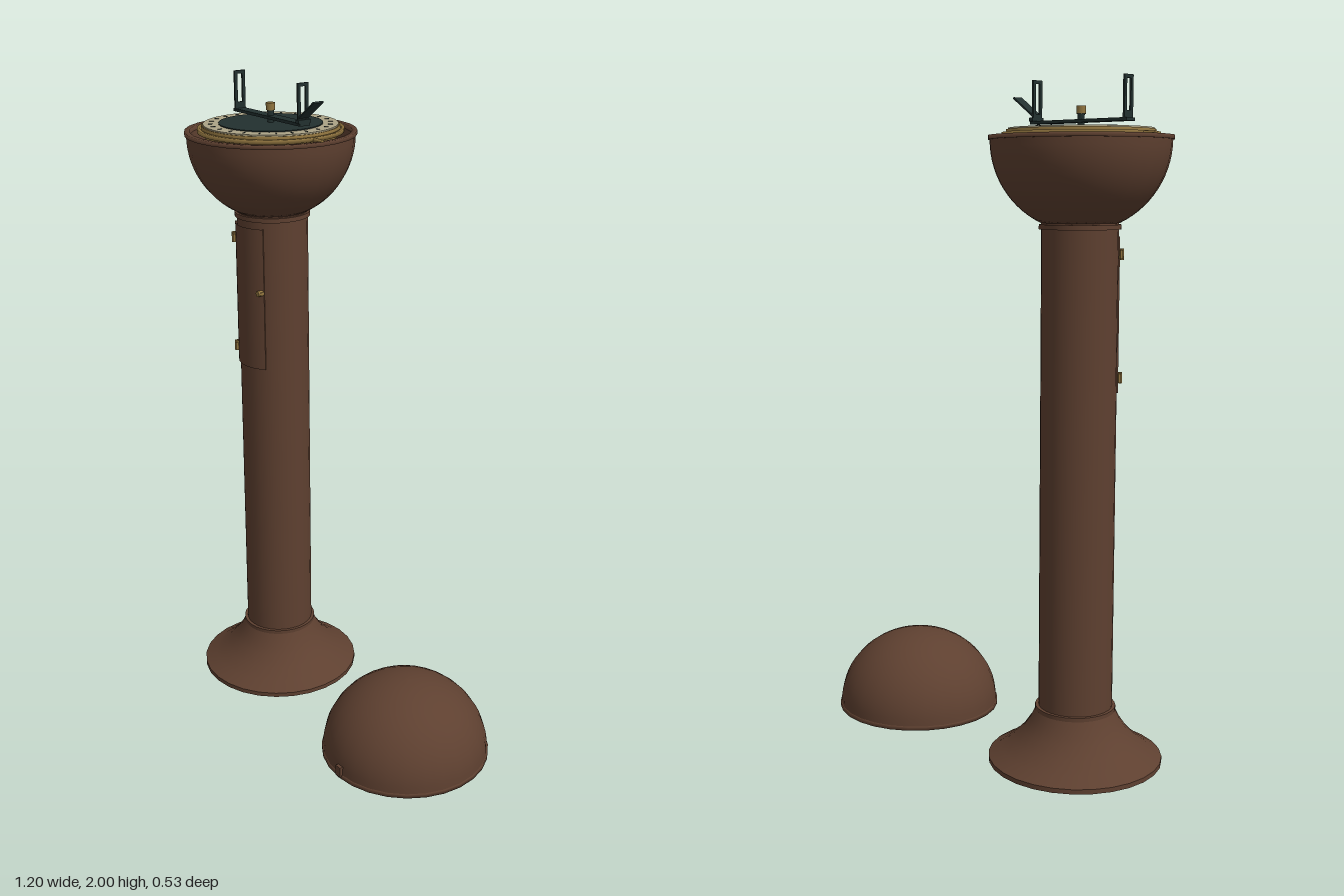
import * as THREE from 'three';

const mat = (name, color, side = THREE.FrontSide) => {
  const m = new THREE.MeshStandardMaterial({ color, side });
  m.name = name;
  return m;
};

export function createModel() {
  const model = new THREE.Group();
  const wood = mat('brown wood', 0x5e4030, THREE.DoubleSide);
  const brass = mat('brass', 0x927640);
  const cream = mat('cream card', 0xaca386);
  const dark = mat('dark teal', 0x22302f);

  const add = (parent, name, geo, material, x = 0, y = 0, z = 0) => {
    const m = new THREE.Mesh(geo, material);
    m.name = name;
    m.position.set(x, y, z);
    parent.add(m);
    return m;
  };
  const lathe = (pts, seg = 28) =>
    new THREE.LatheGeometry(pts.map(([r, y]) => new THREE.Vector2(r, y)), seg);
  const box = (w, h, d) => new THREE.BoxGeometry(w, h, d);
  const disc = (r, h, seg = 40) => new THREE.CylinderGeometry(r, r, h, seg);
  // points on a circular arc, angles measured from straight down
  const arc = (r, cy, a0, a1, n) => Array.from({ length: n + 1 }, (_, i) => {
    const a = a0 + (a1 - a0) * i / n;
    return [r * Math.sin(a), cy - r * Math.cos(a)];
  });

  const stand = new THREE.Group();
  stand.name = 'stand';
  stand.position.x = -0.34;
  model.add(stand);

  // flared foot
  add(stand, 'footPlate', disc(0.26, 0.014, 28), wood, 0, 0.007);
  add(stand, 'footFlare', lathe([[0.26, 0.014], [0.222, 0.036], [0.185, 0.064],
    [0.155, 0.096], [0.133, 0.128], [0.118, 0.16]]), wood);
  add(stand, 'footCollar', disc(0.12, 0.012, 28), wood, 0, 0.165);

  // column and its upper collar
  add(stand, 'column', disc(0.11, 1.45, 28), wood, 0, 0.885);
  add(stand, 'upperCollar', disc(0.117, 0.014, 28), wood, 0, 1.588);

  // hollow bowl with a rim
  add(stand, 'bowl', lathe([[0.001, 1.597], ...arc(0.257, 1.83, 0.455, Math.PI / 2, 14)]), wood);
  add(stand, 'bowlRim', lathe([[0.257, 1.83], [0.262, 1.83], [0.262, 1.842], [0.246, 1.842],
    [0.246, 1.825]]), wood);
  add(stand, 'bowlLining', lathe(arc(0.246, 1.828, 0, Math.PI / 2, 14)), wood);

  // curved door with hinges and knob
  const a = 0.69;
  const door = add(stand, 'door',
    new THREE.CylinderGeometry(0.115, 0.115, 0.45, 12, 1, true, -a, 2 * a), wood, 0, 1.335);
  for (const s of [-1, 1]) {
    const edge = add(door, 'doorEdge', box(0.003, 0.45, 0.01), wood,
      s * 0.111 * Math.sin(a), 0, 0.111 * Math.cos(a));
    edge.rotation.y = s * a;
  }
  for (const y of [1.155, 1.51]) {
    const hinge = new THREE.Group();
    hinge.name = 'hinge';
    hinge.position.set(-0.074, y, 0.092);
    hinge.rotation.y = -a;
    stand.add(hinge);
    add(hinge, 'hingePin', disc(0.006, 0.032, 10), brass, 0, 0, 0.004);
    for (const s of [-1, 1]) add(hinge, 'hingeLeaf', box(0.014, 0.026, 0.008), brass, s * 0.01);
  }
  const knob = add(stand, 'doorKnob', disc(0.009, 0.02, 12), brass, 0.067, 1.36, 0.098);
  knob.rotation.x = Math.PI / 2;
  add(stand, 'doorLatch', box(0.024, 0.01, 0.01), brass, 0.065, 1.36, 0.096);

  // compass bowl, ring and gimbal pins
  add(stand, 'compassBowl', lathe([...arc(0.2, 1.835, 0, Math.PI / 2, 10)]), brass);
  add(stand, 'compassRing', lathe([[0.2, 1.835], [0.21, 1.835], [0.21, 1.858], [0.203, 1.858],
    [0.203, 1.84]], 40), brass);
  add(stand, 'gimbalRing', lathe([[0.213, 1.838], [0.223, 1.838], [0.223, 1.85], [0.213, 1.85],
    [0.213, 1.838]], 40), brass);
  for (const s of [-1, 1]) {
    const pin = add(stand, 'gimbalPin', disc(0.006, 0.05, 10), brass, s * 0.236, 1.843);
    pin.rotation.z = Math.PI / 2;
  }

  // compass card with centre disc and tick marks
  add(stand, 'compassCard', disc(0.205, 0.02), cream, 0, 1.852);
  add(stand, 'cardCentre', disc(0.158, 0.004), dark, 0, 1.863);
  for (let i = 0; i < 24; i++) {
    const t = i / 24 * Math.PI * 2;
    const tick = add(stand, 'tick', box(0.014, 0.002, 0.003), dark,
      0.182 * Math.cos(t), 1.8625, 0.182 * Math.sin(t));
    tick.rotation.y = -t;
  }

  // sighting bar with pivot
  const sight = new THREE.Group();
  sight.name = 'sightingBar';
  stand.add(sight);
  add(sight, 'bar', box(0.35, 0.009, 0.036), dark, 0, 1.881);
  add(sight, 'pivot', disc(0.01, 0.04, 16), dark, 0, 1.882);
  add(sight, 'pivotKnob', disc(0.014, 0.022, 12), brass, 0, 1.912);

  // upright slotted sight vanes
  const vane = new THREE.Shape([[-0.019, 0], [0.019, 0], [0.019, 0.12], [-0.019, 0.12]]
    .map(([x, y]) => new THREE.Vector2(x, y)));
  vane.holes.push(new THREE.Path([[-0.009, 0.025], [-0.009, 0.11], [0.009, 0.11], [0.009, 0.025]]
    .map(([x, y]) => new THREE.Vector2(x, y))));
  const vaneGeo = new THREE.ExtrudeGeometry(vane, { depth: 0.006, bevelEnabled: false });
  vaneGeo.translate(0, 0, -0.003).rotateY(Math.PI / 2);
  for (const s of [-1, 1]) add(sight, 'sightVane', vaneGeo, dark, s * 0.165, 1.88);
  add(sight, 'vaneHinge', box(0.014, 0.01, 0.046), dark, 0.168, 1.89);

  // tilted mirror
  const mirror = add(sight, 'mirror', box(0.092, 0.005, 0.036), dark, 0.204, 1.927);
  mirror.rotation.z = 0.62;

  // hollow cover resting on the ground
  const cover = new THREE.Group();
  cover.name = 'cover';
  cover.position.x = 0.34;
  model.add(cover);
  add(cover, 'coverDome', lathe(Array.from({ length: 17 }, (_, i) => {
    const t = i / 16 * Math.PI / 2;
    return [0.258 * Math.cos(t), 0.012 + 0.238 * Math.sin(t)];
  })), wood);
  add(cover, 'coverRim', lathe([[0.25, 0.012], [0.25, 0], [0.262, 0], [0.262, 0.012],
    [0.256, 0.012]]), wood);
  add(cover, 'coverLatch', box(0.022, 0.034, 0.014), wood, 0, 0.024, 0.259);

  return model;
}
